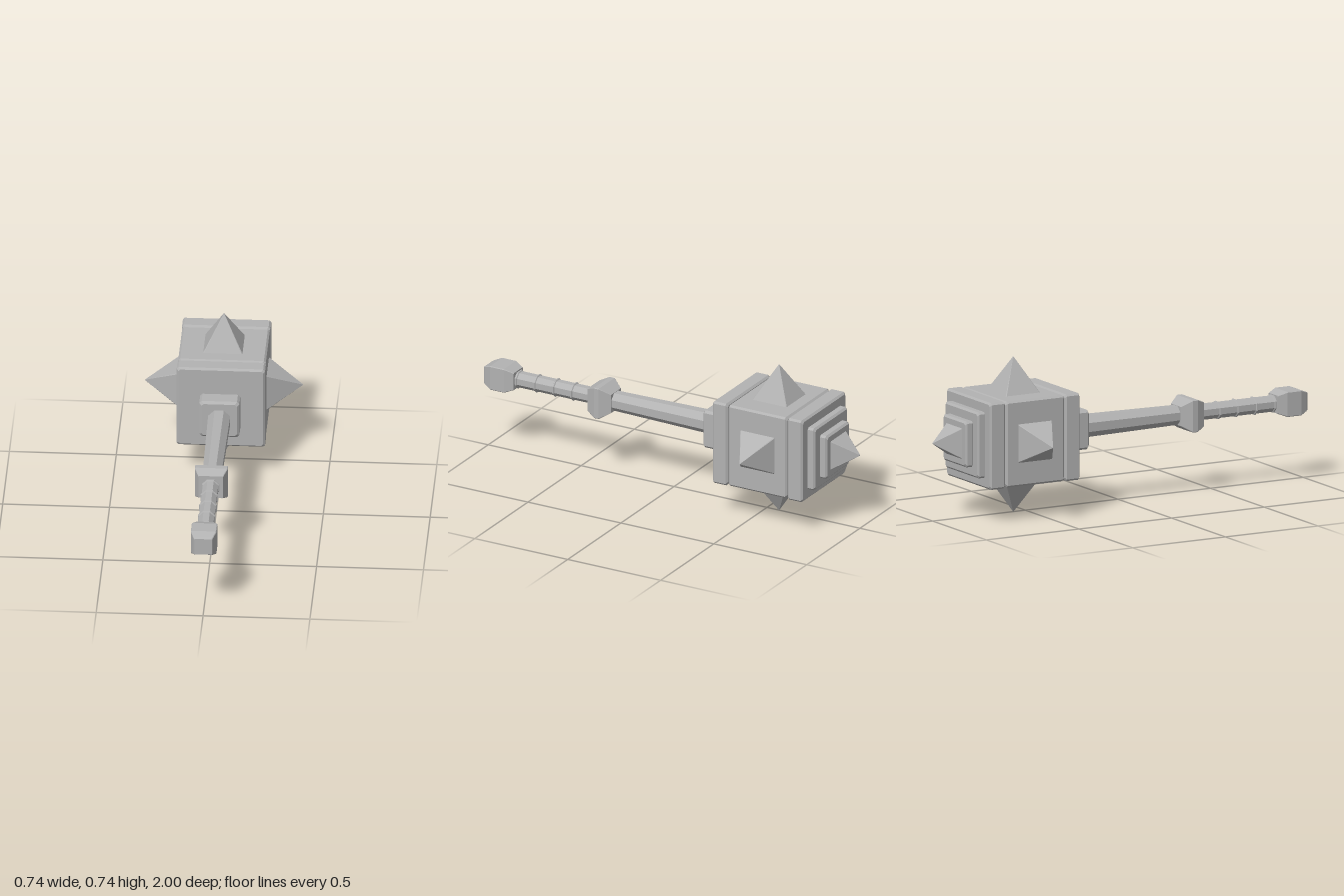
import * as THREE from 'three';

const steel = new THREE.MeshStandardMaterial({ color: 0xb2b2b2 });
steel.name = 'steel';

const AXIS_Y = 0.37;
const OCTAGON = 0.586; // corner cut that makes a regular octagon

// Flat-faced solid along z from [z, halfWidth] sections (z rising): squares with cut corners.
function loft(sections, cut) {
  const rings = sections.map(([z, h]) => {
    const k = h * (1 - cut);
    return [[h, -k], [h, k], [k, h], [-k, h], [-h, k], [-h, -k], [-k, -h], [k, -h]]
      .map(([x, y]) => [x, y, z]);
  });
  const pos = [];
  const tri = (a, b, c) => pos.push(...a, ...b, ...c);
  for (let i = 0; i < rings.length - 1; i++) {
    for (let j = 0; j < 8; j++) {
      const n = (j + 1) % 8;
      tri(rings[i][j], rings[i][n], rings[i + 1][n]);
      tri(rings[i][j], rings[i + 1][n], rings[i + 1][j]);
    }
  }
  const first = rings[0], last = rings[rings.length - 1];
  for (let j = 1; j < 7; j++) {
    tri(first[0], first[j + 1], first[j]);
    tri(last[0], last[j], last[j + 1]);
  }
  const geo = new THREE.BufferGeometry();
  geo.setAttribute('position', new THREE.Float32BufferAttribute(pos, 3));
  geo.computeVertexNormals();
  return geo;
}

// Square block with bevelled edges
function block(z0, z1, half, bevel = 0.009) {
  return loft([[z0, half - bevel], [z0 + bevel, half], [z1 - bevel, half], [z1, half - bevel]], bevel / half);
}

export function createModel() {
  const model = new THREE.Group();
  model.name = 'spikedMace';
  const body = new THREE.Group();
  body.name = 'maceBody';
  body.position.y = AXIS_Y;
  model.add(body);

  const add = (name, geo) => {
    const mesh = new THREE.Mesh(geo, steel);
    mesh.name = name;
    body.add(mesh);
    return mesh;
  };

  // Head: thick middle block between two plates
  add('headFrontPlate', block(-0.403, -0.322, 0.207));
  add('headCore', block(-0.722, -0.406, 0.205));
  add('headBackPlate', block(-0.808, -0.725, 0.207));

  // Stepped back with a short spike
  add('backStepLarge', block(-0.846, -0.8, 0.157));
  add('backStepSmall', block(-0.884, -0.838, 0.109));
  add('backSpike', loft([[-1, 0.002], [-0.88, 0.075]], 0.04));

  // Four spikes around the head
  const spikeGeo = loft([[0.19, 0.1], [0.366, 0.003], [0.37, 0.001]], 0.04);
  const spikes = [
    ['topSpike', -Math.PI / 2, 0], ['bottomSpike', Math.PI / 2, 0],
    ['leftSpike', 0, Math.PI / 2], ['rightSpike', 0, -Math.PI / 2],
  ];
  for (const [name, rx, ry] of spikes) {
    const spike = add(name, spikeGeo);
    spike.position.z = -0.565;
    spike.rotation.set(rx, ry, 0);
  }

  // Neck and collar
  add('neck', block(-0.33, -0.285, 0.07, 0.004));
  add('collar', block(-0.295, -0.205, 0.094, 0.011));

  // Shaft and flared guard
  add('shaft', loft([[-0.22, 0.052], [0.33, 0.044]], OCTAGON));
  add('guard', loft([[0.312, 0.046], [0.362, 0.077], [0.388, 0.077], [0.432, 0.058]], 0.04));

  // Grip with thin rings
  add('grip', loft([[0.42, 0.036], [0.85, 0.036]], OCTAGON));
  for (const z of [0.436, 0.533, 0.63, 0.73, 0.83]) {
    add('gripRing', loft([[z - 0.006, 0.036], [z - 0.003, 0.041], [z + 0.003, 0.041], [z + 0.006, 0.036]], OCTAGON));
  }

  // Pommel
  add('pommel', loft([[0.838, 0.043], [0.882, 0.06], [0.957, 0.06], [0.992, 0.046], [1, 0.041]], 0.06));

  return model;
}
